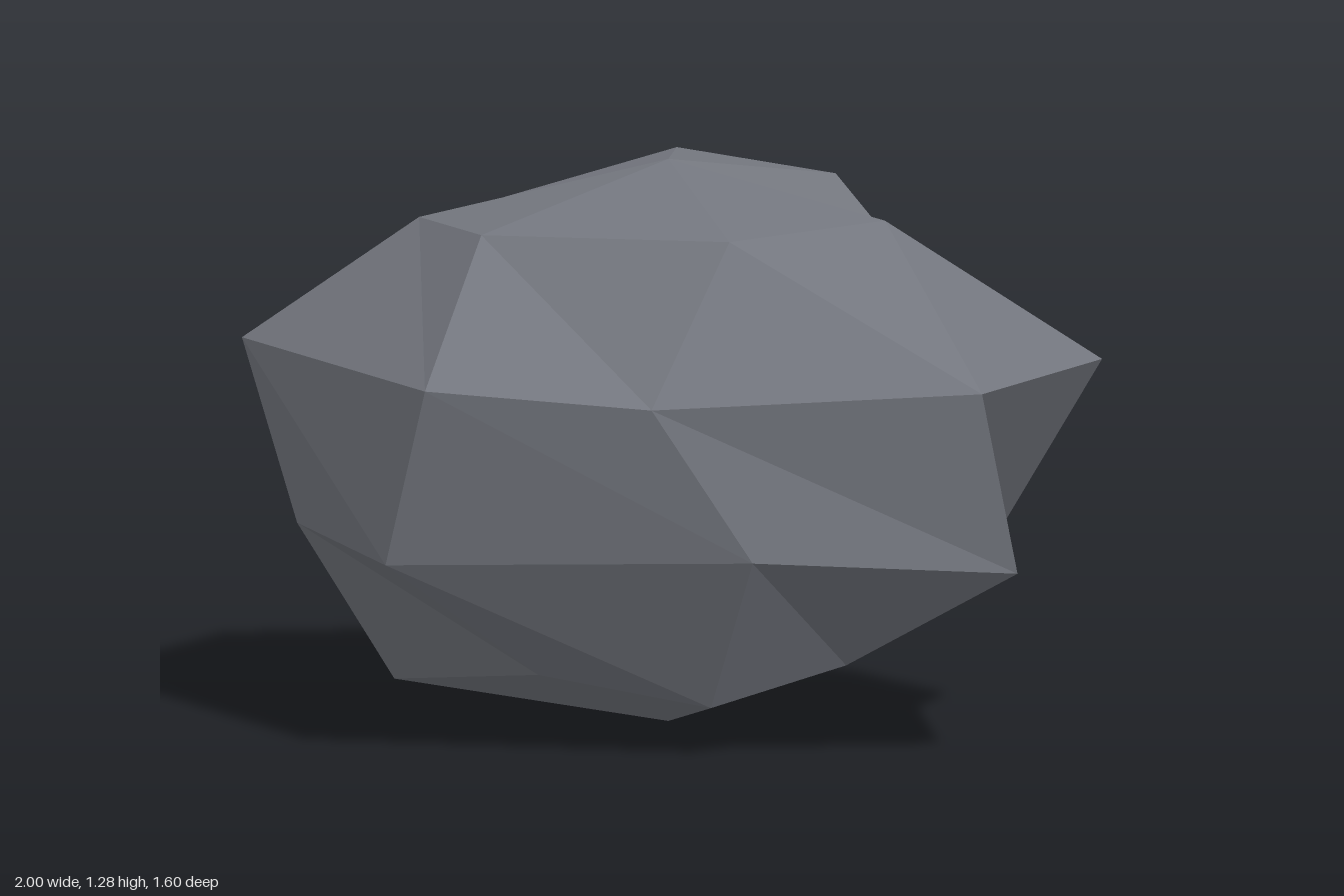
import * as THREE from 'three';

// Horizontal cross-sections of the boulder, top to bottom, eight [x, y, z] corners each
const upperRing = [
  [0.62, 1.2, -0.02], [0.41, 1.17, 0.29], [-0.19, 1.15, 0.41], [-0.51, 1.14, 0.2],
  [-0.57, 1.13, -0.2], [-0.35, 1.22, -0.58], [0.06, 1.19, -0.62], [0.4, 1.1, -0.35],
];
const shoulderRing = [
  [0.98, 0.85, 0.11], [0.4, 0.82, 0.58], [-0.07, 0.85, 0.8], [-0.9, 0.85, 0.34],
  [-1, 0.85, -0.34], [-0.56, 0.82, -0.67], [0.13, 0.81, -0.75], [0.88, 0.85, -0.5],
];
const bellyRing = [
  [1, 0.43, 0], [0.58, 0.47, 0.44], [-0.2, 0.44, 0.77], [-0.67, 0.46, 0.45],
  [-0.93, 0.45, -0.3], [-0.69, 0.45, -0.68], [0.22, 0.46, -0.8], [0.68, 0.48, -0.41],
];
const baseRing = [
  [0.52, 0.18, -0.01], [0.38, 0.11, 0.32], [-0.04, 0.16, 0.4], [-0.55, 0.09, 0.24],
  [-0.53, 0.19, -0.15], [-0.43, 0.1, -0.47], [0.08, 0.13, -0.57], [0.4, 0.18, -0.33],
];

// Skin the rings with triangles and close both ends at a pole
function skinRings(rings, top, bottom) {
  const n = rings[0].length;
  const positions = [];
  const tri = (a, b, c) => positions.push(...a, ...b, ...c);
  for (let i = 0; i < n; i++) {
    const j = (i + 1) % n;
    tri(top, rings[0][j], rings[0][i]);
    for (let r = 0; r < rings.length - 1; r++) {
      const upper = rings[r], lower = rings[r + 1];
      tri(upper[j], lower[j], lower[i]);
      tri(upper[j], lower[i], upper[i]);
    }
    const last = rings[rings.length - 1];
    tri(bottom, last[i], last[j]);
  }
  const geometry = new THREE.BufferGeometry();
  geometry.setAttribute('position', new THREE.Float32BufferAttribute(positions, 3));
  geometry.computeVertexNormals();
  return geometry;
}

export function createModel() {
  const stone = new THREE.MeshStandardMaterial({ color: 0x74777f });
  stone.name = 'slateStone';
  stone.flatShading = true;

  // Faceted boulder
  const boulder = new THREE.Mesh(
    skinRings([upperRing, shoulderRing, bellyRing, baseRing], [-0.02, 1.28, -0.08], [-0.02, 0, -0.08]),
    stone,
  );
  boulder.name = 'boulder';

  const group = new THREE.Group();
  group.name = 'rock';
  group.add(boulder);
  return group;
}
